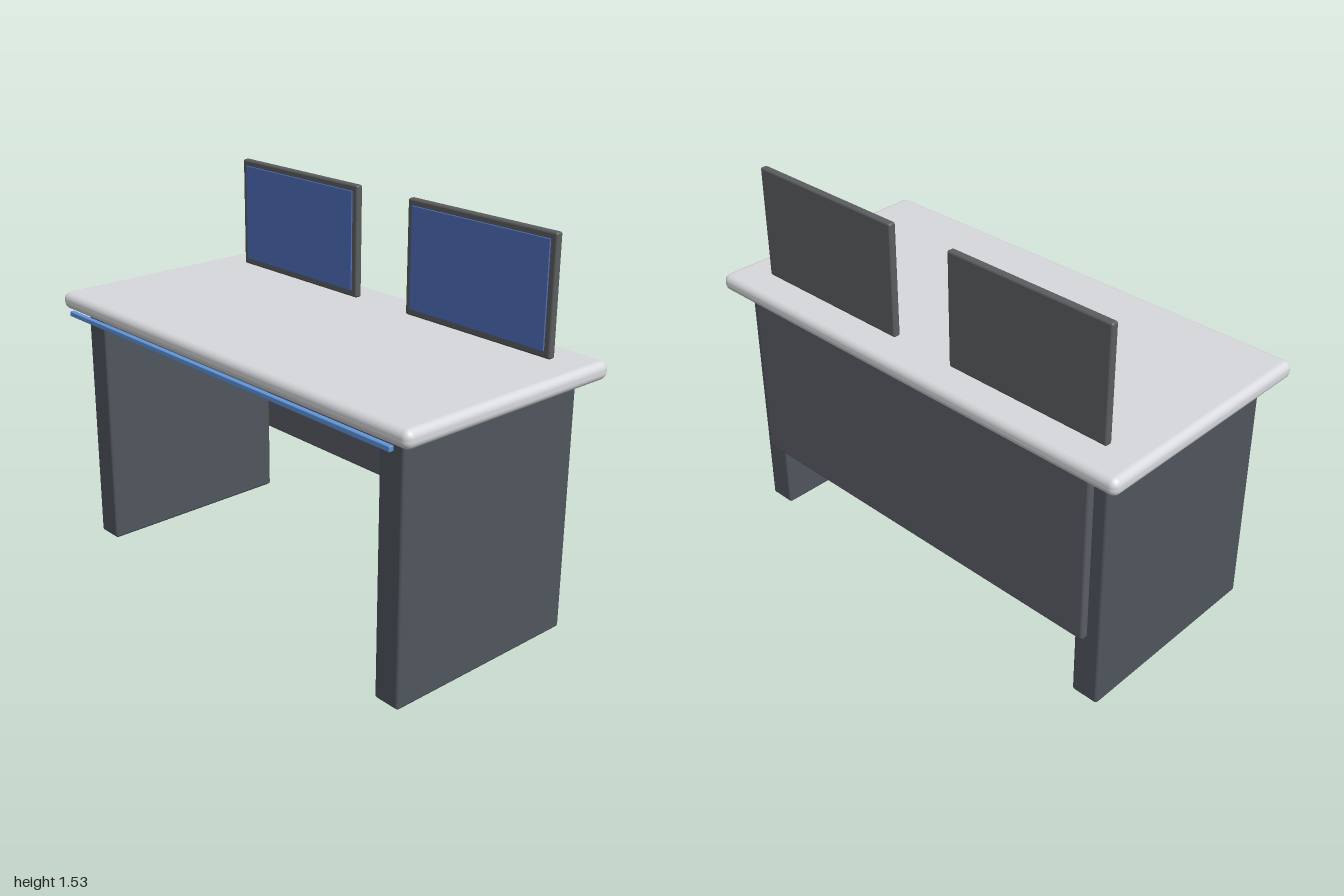
import * as THREE from 'three';
import { RoundedBoxGeometry } from 'three/addons/geometries/RoundedBoxGeometry.js';

const paint = (color) => new THREE.MeshStandardMaterial({ color });

// Rounded box given by its [min, max] range on each axis
function slab(name, x, y, z, radius, material, segments = 3) {
  const size = [x, y, z].map(([a, b]) => b - a);
  const mesh = new THREE.Mesh(new RoundedBoxGeometry(...size, segments, radius), material);
  mesh.position.set(...[x, y, z].map(([a, b]) => (a + b) / 2));
  mesh.name = name;
  return mesh;
}

export function createModel() {
  const desk = new THREE.Group();
  desk.name = 'desk';

  const topPaint = paint(0xd8d9dd);
  const legPaint = paint(0x50565e);
  const panelPaint = paint(0x5a5d65);
  const framePaint = paint(0x5c5d60);
  const screenPaint = paint(0x4f70bd);
  const stripPaint = paint(0x6096dd);

  // Table top with soft edges, and the panel closing the back
  desk.add(slab('tableTop', [-1, 1], [1.003, 1.073], [-0.505, 0.495], 0.03, topPaint, 5));
  desk.add(slab('backPanel', [-0.86, 0.86], [0.29, 1.003], [-0.46, -0.425], 0.012, panelPaint));

  // Light strip under the front edge
  desk.add(slab('lightStrip', [-0.93, 0.93], [0.987, 1.008], [0.485, 0.505], 0.004, stripPaint));

  for (const side of [-1, 1]) {
    const label = side > 0 ? 'left' : 'right';
    const span = (a, b) => (side > 0 ? [a, b] : [-b, -a]);

    // Slab leg
    desk.add(slab(label + 'Leg', span(0.80, 0.915), [0, 1.004], [-0.43, 0.425], 0.012, legPaint));

    // Monitor: frame with a screen standing slightly proud of it
    const monitor = new THREE.Group();
    monitor.name = label + 'Monitor';
    monitor.add(
      slab('frame', span(0.14, 0.855), [1.073, 1.53], [-0.376, -0.345], 0.009, framePaint),
      slab('screen', span(0.166, 0.829), [1.1, 1.505], [-0.352, -0.34], 0.002, screenPaint)
    );
    desk.add(monitor);
  }
  return desk;
}
